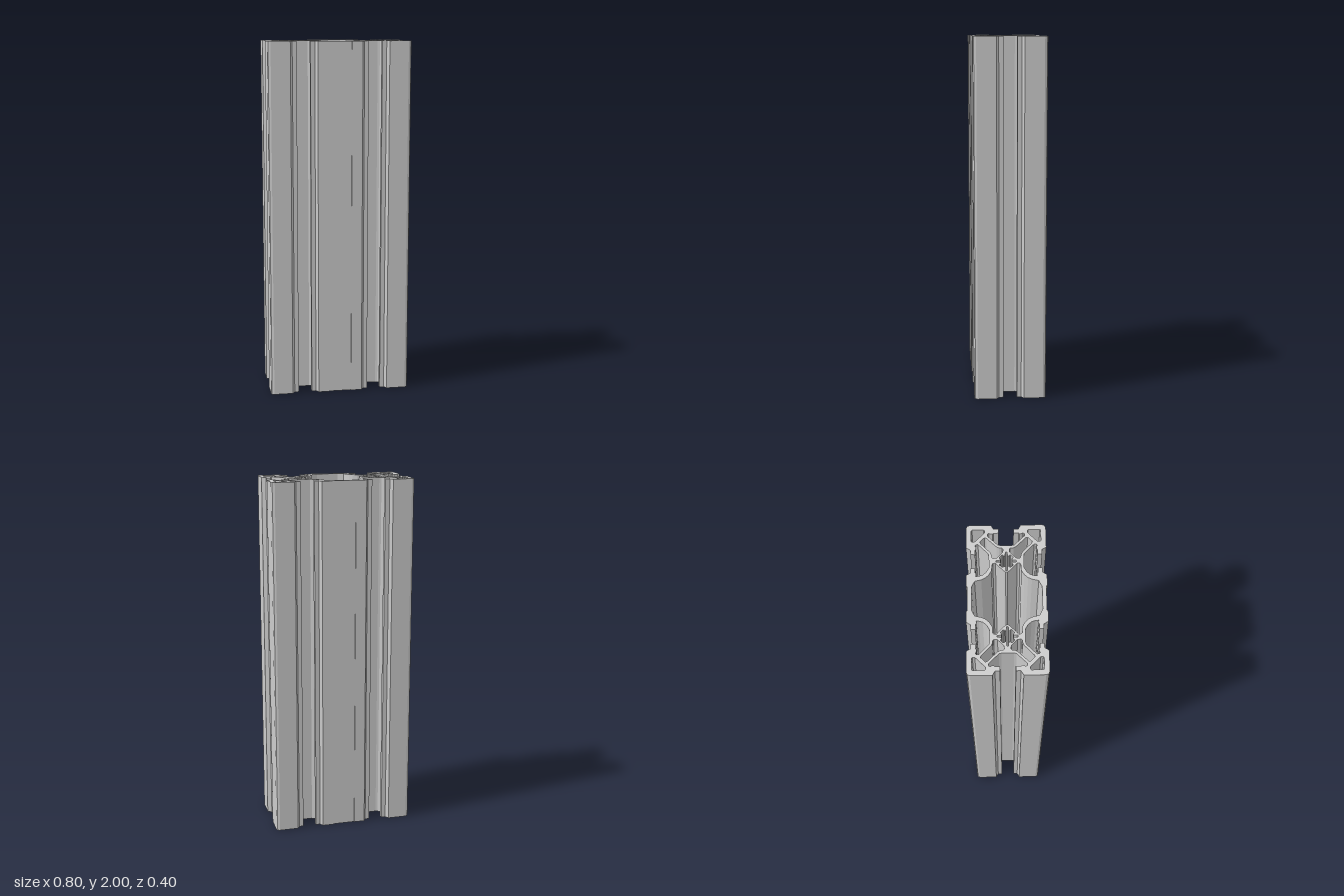
import * as THREE from 'three';

const LENGTH = 2;
const CORE_X = 0.2; // distance of each screw core from the middle

const flipX = pts => pts.map(([x, z]) => [-x, z]).reverse();
const flipZ = pts => pts.map(([x, z]) => [x, -z]).reverse();
const swap = pts => pts.map(([x, z]) => [z, x]).reverse();
const atCore = pts => pts.map(([x, z]) => [x + CORE_X, z]);
const vectors = pts => pts.map(p => new THREE.Vector2(...p));

// Quarter outline (from the z axis to the x axis) -> closed counterclockwise outline
function fourfold(quarter) {
  const half = [...quarter, ...flipZ(quarter)];
  return [...half, ...flipX(half)].reverse();
}

// Middle wall lip and its side of the front slot
const middleLip = [
  [0.065, 0.195], [0.065, 0.2], [0.125, 0.2], [0.138, 0.178], [0.162, 0.178],
  [0.163, 0.155], [0.137, 0.155], [0.132, 0.15], [0.122, 0.15], [0.119, 0.154],
  [0.12, 0.138], [0.126, 0.118], [0.142, 0.1], [0.165, 0.087],
];

// Half of a corner lobe, from slot bottom to outer corner, relative to the core
const cornerHalf = [
  [0.03, 0.087], [0.042, 0.09], [0.093, 0.14], [0.092, 0.151], [0.085, 0.156],
  [0.079, 0.151], [0.068, 0.15], [0.063, 0.155], [0.037, 0.155], [0.038, 0.178],
  [0.062, 0.178], [0.075, 0.2], [0.182, 0.2],
];

// Large chamber in the middle
const chamber = [
  [0.06, 0.174], [0.092, 0.158], [0.1, 0.125], [0.109, 0.106], [0.125, 0.088],
  [0.15, 0.073], [0.18, 0.072], [0.188, 0.067], [0.19, 0.054], [0.182, 0.048],
  [0.147, 0.014], [0.14, 0.004],
];

// Half of the diagonal channel between the two arms of a corner
const channelHalf = [
  [0.018, 0.048], [0.016, 0.066], [0.02, 0.071], [0.036, 0.073],
  [0.048, 0.079], [0.099, 0.128], [0.108, 0.131],
];

// Hollow box in each corner
const cornerBox = [
  [0.108, 0.17], [0.108, 0.158], [0.112, 0.153], [0.153, 0.112], [0.158, 0.108],
  [0.17, 0.108], [0.174, 0.112], [0.174, 0.17], [0.17, 0.174], [0.112, 0.174],
];

// One eighth of the toothed screw bore, from the diagonal to the z axis groove
const boreEighth = [
  [0.004, 0.05], [0.006, 0.03], [0.013, 0.027], [0.016, 0.033], [0.022, 0.033], [0.026, 0.029],
];

export function createModel() {
  const corner = [...cornerHalf, [0.195, 0.195], ...swap(cornerHalf)];
  const section = new THREE.Shape(vectors(fourfold([...middleLip, ...atCore(corner)])));
  const cut = pts => section.holes.push(new THREE.Path(vectors(pts)));

  // Chamber, screw bores, corner channels and corner boxes
  cut(fourfold(chamber));
  const bore = atCore(fourfold([...boreEighth, ...swap(boreEighth)]));
  cut(bore);
  cut(flipX(bore));
  const channel = [...channelHalf, ...swap(channelHalf)];
  for (const hole of [atCore(channel), atCore(cornerBox)]) {
    for (const h of [hole, flipZ(hole)]) {
      cut(h);
      cut(flipX(h));
    }
  }

  // Extrude the section upward
  const geometry = new THREE.ExtrudeGeometry(section, { depth: LENGTH, bevelEnabled: false });
  geometry.rotateX(-Math.PI / 2);
  const profile = new THREE.Mesh(geometry, new THREE.MeshStandardMaterial({ color: 0xcccccc }));
  profile.name = 'slottedProfile';

  const model = new THREE.Group();
  model.name = 'doubleSlotRail';
  model.add(profile);
  return model;
}
